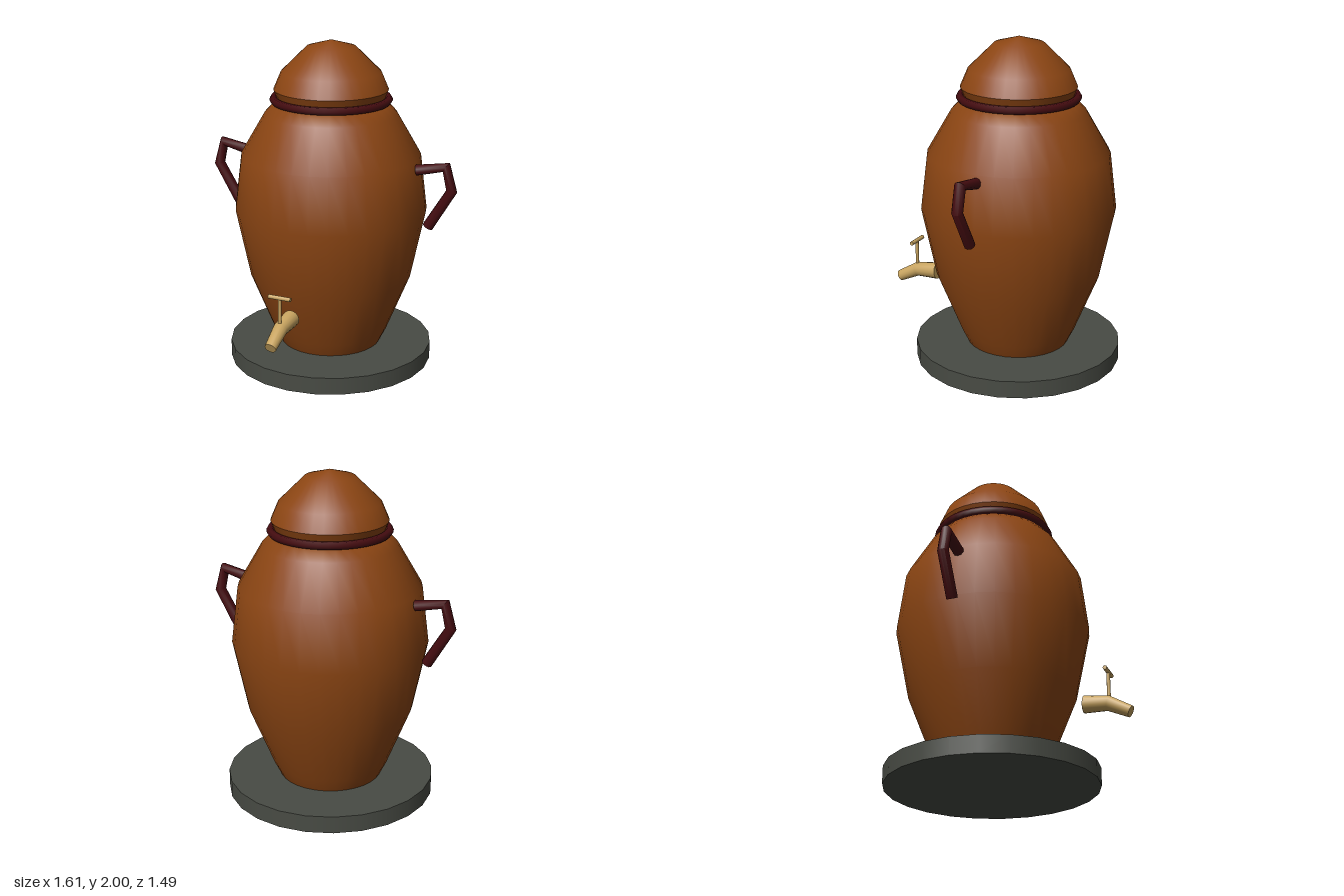
import * as THREE from 'three';
import { toCreasedNormals } from 'three/addons/utils/BufferGeometryUtils.js';

const material = (name, color) => {
  const m = new THREE.MeshStandardMaterial({ color });
  m.name = name;
  return m;
};

// Capped tube along a flat path of [x, y, z, radius]; side is the normal of the path's plane
function sweep(path, side, sides) {
  const pts = path.map(([x, y, z]) => new THREE.Vector3(x, y, z));
  const last = pts.length - 1;
  const pos = [], index = [];
  pts.forEach((p, i) => {
    const t = new THREE.Vector3();
    if (i > 0) t.add(p.clone().sub(pts[i - 1]).normalize());
    if (i < last) t.add(pts[i + 1].clone().sub(p).normalize());
    const n = side.clone().cross(t.normalize());
    for (let j = 0; j < sides; j++) {
      const a = (j / sides) * Math.PI * 2;
      const v = p.clone()
        .addScaledVector(n, Math.cos(a) * path[i][3])
        .addScaledVector(side, Math.sin(a) * path[i][3]);
      pos.push(v.x, v.y, v.z);
    }
  });
  for (let j = 0; j < sides; j++) {
    const k = (j + 1) % sides;
    for (let i = 0; i < last; i++) {
      const a = i * sides + j, b = i * sides + k;
      index.push(a, b, a + sides, b, b + sides, a + sides);
    }
    // end caps
    if (j > 0 && k > 0) {
      const e = last * sides;
      index.push(0, k, j, e, e + j, e + k);
    }
  }
  const g = new THREE.BufferGeometry();
  g.setAttribute('position', new THREE.Float32BufferAttribute(pos, 3));
  g.setIndex(index);
  return toCreasedNormals(g, 0.85);
}

const lathe = (profile, segments) =>
  new THREE.LatheGeometry(profile.map(([r, y]) => new THREE.Vector2(r, y)), segments);

export function createModel() {
  const clay = material('brown clay', 0x8b4513);
  const trim = material('dark red trim', 0x450c10);
  const stone = material('grey stone', 0x484b44);
  const brass = material('brass', 0xc8a460);

  const model = new THREE.Group();
  model.name = 'urn';
  const add = (parent, name, geometry, mat) => {
    const mesh = new THREE.Mesh(geometry, mat);
    mesh.name = name;
    parent.add(mesh);
    return mesh;
  };

  // Vessel, set back so the tap fits in front
  const vessel = new THREE.Group();
  vessel.name = 'vessel';
  vessel.position.z = -0.11;
  model.add(vessel);

  add(vessel, 'base', new THREE.CylinderGeometry(0.63, 0.63, 0.105, 24), stone).position.y = 0.0525;
  add(vessel, 'body', lathe([
    [0.31, 0.1], [0.355, 0.19], [0.5, 0.55], [0.587, 0.97],
    [0.545, 1.31], [0.4, 1.56], [0.33, 1.635], [0, 1.64],
  ], 32), clay);

  // Rim ring and domed lid
  const rim = add(vessel, 'rim', new THREE.TorusGeometry(0.346, 0.024, 6, 40), trim);
  rim.rotation.x = Math.PI / 2;
  rim.position.y = 1.644;
  add(vessel, 'lidEdge', lathe([[0.315, 1.63], [0.345, 1.705]], 32), clay);
  add(vessel, 'lid', lathe([[0.345, 1.705], [0.3, 1.81], [0.147, 1.96], [0, 2]], 32), clay);

  // Angular side handles
  const handle = sweep([
    [0.555, 1.265, 0, 0.033], [0.737, 1.302, 0, 0.034],
    [0.774, 1.16, 0, 0.033], [0.632, 0.925, 0, 0.033],
  ], new THREE.Vector3(0, 0, 1), 10);
  add(vessel, 'leftHandle', handle, trim);
  add(vessel, 'rightHandle', handle, trim).rotation.y = Math.PI;

  // Tap: bent spout, stem and crossbar
  const tap = new THREE.Group();
  tap.name = 'tap';
  model.add(tap);
  add(tap, 'spout', sweep([
    [0, 0.44, 0.457, 0.052], [0, 0.427, 0.602, 0.044], [0, 0.36, 0.73, 0.035],
  ], new THREE.Vector3(1, 0, 0), 16), brass);
  add(tap, 'tapStem', new THREE.CylinderGeometry(0.011, 0.011, 0.19, 8), brass).position.set(0, 0.52, 0.605);
  const bar = add(tap, 'tapCrossbar', new THREE.CylinderGeometry(0.013, 0.013, 0.14, 8), brass);
  bar.rotation.z = Math.PI / 2;
  bar.position.set(0, 0.622, 0.605);

  return model;
}
